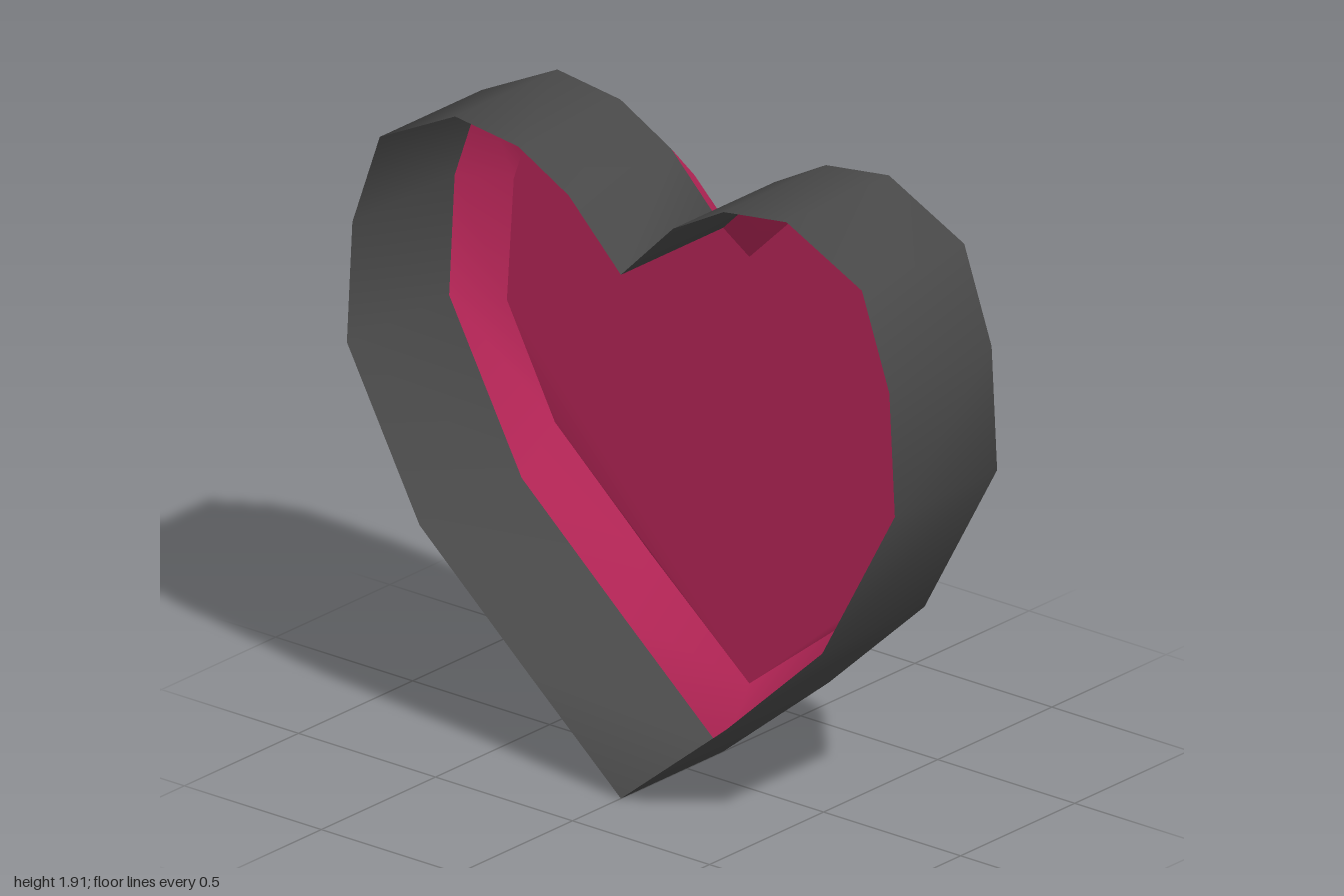
import * as THREE from 'three';

// Half outlines from the bottom tip, round the +x lobe, to the top notch.
const OUTER = [[0, 0], [0.375, 0.305], [0.735, 0.635], [1, 1.12], [0.98, 1.49],
  [0.88, 1.775], [0.605, 1.91], [0.375, 1.88], [0.19, 1.78], [0, 1.59]];
const INNER = [[0, 0.17], [0.375, 0.465], [0.71, 0.775], [0.885, 1.1], [0.86, 1.475],
  [0.785, 1.69], [0.615, 1.775], [0.335, 1.74], [0.2, 1.66], [0, 1.465]];

// Mirrors a half outline into a full loop at depth z; the lower flanks dip back slightly.
function ring(half, z) {
  const right = half.map(([x, y], i) => new THREE.Vector3(x, y, i === 1 ? z - 0.013 : z));
  const left = right.slice(1, -1).reverse().map((p) => new THREE.Vector3(-p.x, p.y, p.z));
  return [...right, ...left];
}

function surface(points, index) {
  const geometry = new THREE.BufferGeometry().setFromPoints(points);
  geometry.setIndex(index);
  geometry.computeVertexNormals();
  return geometry;
}

// Smooth band joining a front loop to a back loop.
function band(front, back) {
  const n = front.length;
  const index = [];
  for (let i = 0; i < n; i++) {
    const j = (i + 1) % n;
    index.push(i, n + i, n + j, i, n + j, j);
  }
  return surface([...front, ...back], index);
}

// Panel filling a loop, facing -z.
function panel(loop) {
  const flat = loop.map((p) => new THREE.Vector2(p.x, p.y));
  const index = THREE.ShapeUtils.triangulateShape(flat, []).flatMap(([a, b, c]) => [a, c, b]);
  return surface(loop, index);
}

export function createModel() {
  const group = new THREE.Group();
  group.name = 'heartTray';

  const charcoal = new THREE.MeshStandardMaterial({ color: 0x484848, side: THREE.DoubleSide });
  charcoal.name = 'charcoal';
  const crimson = new THREE.MeshStandardMaterial({ color: 0xb82658, side: THREE.DoubleSide });
  crimson.name = 'crimson';

  const rim = ring(OUTER, 0.288);
  const shoulder = ring(OUTER, -0.16);
  const base = ring(INNER, -0.275);

  const add = (name, geometry, material) => {
    const mesh = new THREE.Mesh(geometry, material);
    mesh.name = name;
    group.add(mesh);
  };

  // Open-fronted shell: side wall, sloping bevel and back panel
  add('sideWall', band(rim, shoulder), charcoal);
  add('bevel', band(shoulder, base), crimson);
  add('backPanel', panel(base), crimson);

  return group;
}
